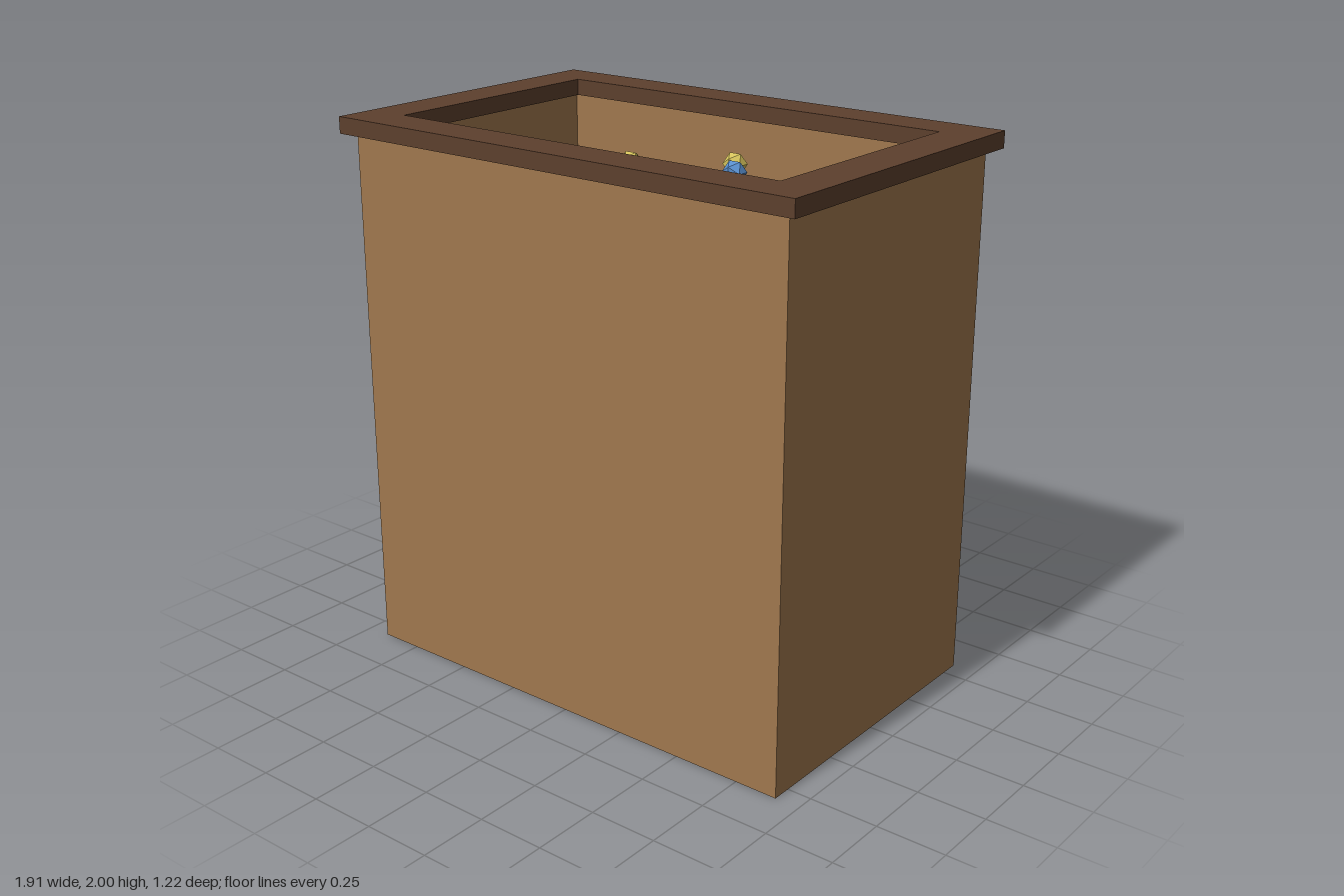
import * as THREE from 'three';

const paint = (name, color, flatShading = false) => {
  const m = new THREE.MeshStandardMaterial({ color, flatShading });
  m.name = name;
  return m;
};

// Rectangular ring, standing from y0 to y0 + height
function frame(name, outerX, outerZ, innerX, innerZ, y0, height, material) {
  const corners = (x, z) => [[-x, -z], [x, -z], [x, z], [-x, z]].map(([a, b]) => new THREE.Vector2(a, b));
  const shape = new THREE.Shape(corners(outerX, outerZ));
  shape.holes.push(new THREE.Path(corners(innerX, innerZ).reverse()));
  const geometry = new THREE.ExtrudeGeometry(shape, { depth: height, bevelEnabled: false });
  geometry.rotateX(-Math.PI / 2);
  const mesh = new THREE.Mesh(geometry, material);
  mesh.name = name;
  mesh.position.y = y0;
  return mesh;
}

// Pebble positions: x, z and, for the ones near the opening, y
const red = [[-0.33, -0.24], [-0.2, -0.27], [-0.16, -0.27], [-0.16, -0.14], [0.71, -0.17],
  [0.25, 0.02], [0.1, 0.1], [-0.42, 0.13, 1.73], [0.55, 0.4, 1.52]];
const blue = [[-0.17, -0.36, 1.62], [0.39, -0.35, 1.76], [0.1, -0.26, 1.8], [0.25, -0.21], [-0.59, -0.01],
  [-0.57, 0.03], [0.28, 0.13], [0.41, 0.17], [0.63, 0.21], [-0.17, 0.18], [-0.31, 0.3], [-0.13, 0.33, 1.59]];
const green = [[0.06, -0.39, 1.62], [0.24, -0.27], [0.09, -0.16], [0.47, -0.22, 1.72], [-0.53, -0.18],
  [0.64, 0.1], [0.68, 0.12], [0.04, 0.2], [0.39, 0.24], [0.18, 0.4, 1.55]];
const yellow = [[-0.43, -0.33, 1.75], [0.05, -0.33, 1.81], [-0.13, -0.23, 1.74], [0.12, -0.06], [0.27, -0.07, 1.72],
  [0.08, 0.01], [-0.03, 0.03], [0.58, -0.03], [0.53, 0.12], [-0.04, 0.2], [-0.48, 0.21], [-0.75, 0.23]];
const white = [[0.29, -0.44], [0.43, -0.39, 1.7], [0.64, -0.31], [-0.03, -0.21], [0.02, -0.06], [0.27, 0.07],
  [-0.31, 0.18], [0.25, 0.24], [-0.62, 0.25], [-0.17, 0.35, 1.56], [-0.49, 0.37]];
const brown = [[0.41, -0.42], [0.69, -0.25], [0.3, -0.12], [-0.5, -0.09], [0.52, 0.02], [0.56, 0.04],
  [0.75, 0.02], [-0.19, 0.13], [-0.11, 0.2], [0.67, 0.21, 1.74], [0.52, 0.4]];

export function createModel() {
  const model = new THREE.Group();
  model.name = 'openBin';
  const board = paint('board', 0xa0784e);
  const darkWood = paint('darkWood', 0x5d402d);

  // Hollow body with a floor, and an overhanging rim
  const floor = new THREE.Mesh(new THREE.BoxGeometry(1.82, 0.06, 1.14), board);
  floor.name = 'floor';
  floor.position.y = 0.03;
  model.add(floor);
  model.add(frame('walls', 0.91, 0.57, 0.85, 0.51, 0.06, 1.88, board));
  model.add(frame('rim', 0.955, 0.61, 0.795, 0.455, 1.94, 0.06, darkWood));

  // Loose faceted pebbles in the upper part of the bin
  const pebbles = new THREE.Group();
  pebbles.name = 'pebbles';
  const geometry = new THREE.IcosahedronGeometry(0.045, 0);
  let seed = 7;
  const random = () => (seed = (seed * 16807) % 2147483647) / 2147483647;
  const sets = [
    ['red', 0xc4525e, red], ['blue', 0x5a90cf, blue], ['green', 0x57b083, green],
    ['yellow', 0xd6c45c, yellow], ['white', 0xe2e2e2, white], ['brown', 0x8f5f35, brown],
  ];
  for (const [name, color, spots] of sets) {
    const material = paint(name, color, true);
    for (const [x, z, y = 1.38 + 0.2 * random()] of spots) {
      const pebble = new THREE.Mesh(geometry, material);
      pebble.name = `${name}Pebble`;
      pebble.position.set(x, y, z);
      pebbles.add(pebble);
    }
  }
  model.add(pebbles);
  return model;
}
